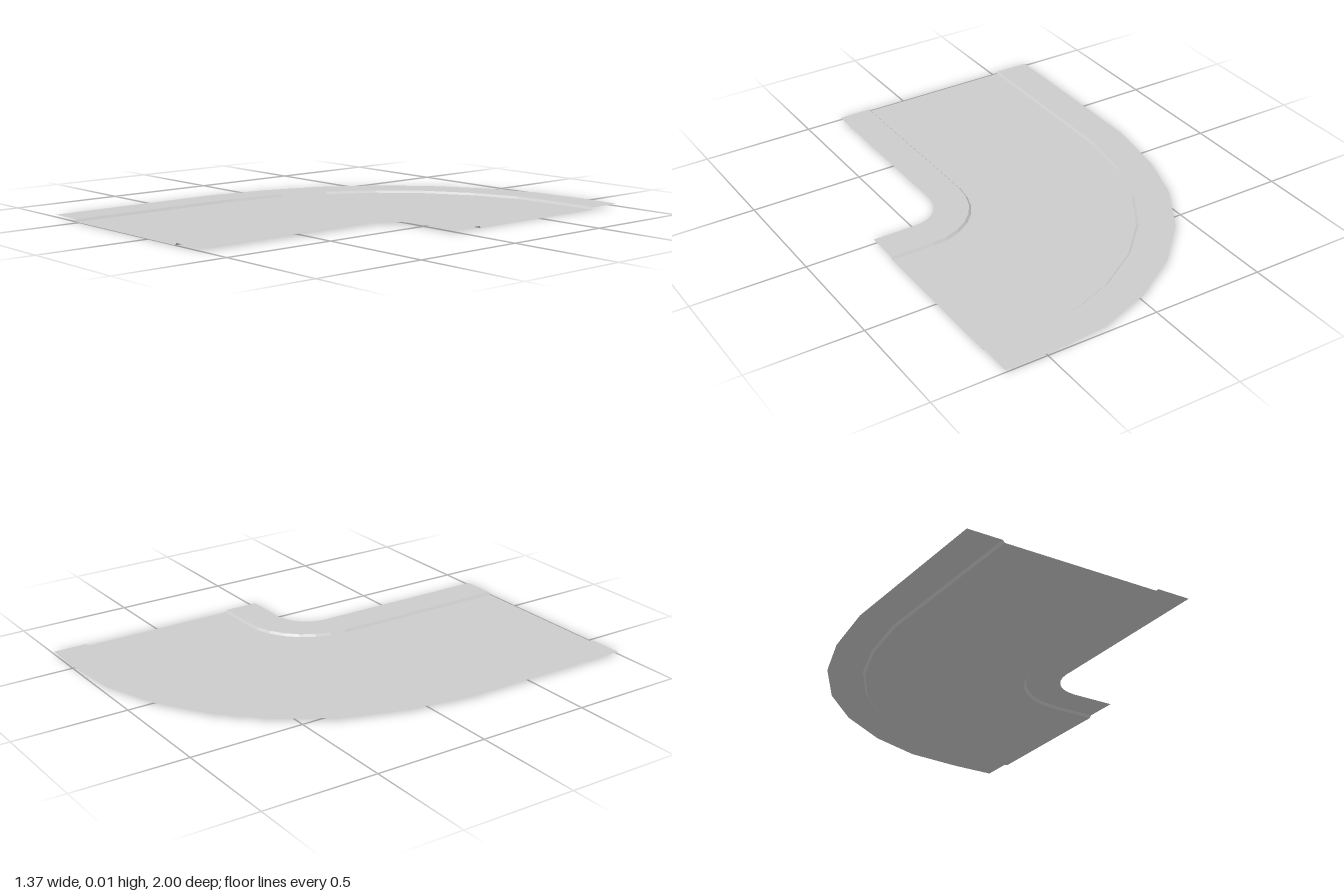
import * as THREE from 'three';

// Plan of the outer edge [x, z], from the front end round the bend to the side end
const OUTER = [
  [-0.685, 1], [-0.685, 0.19], [-0.64, -0.1], [-0.56, -0.34], [-0.42, -0.57],
  [-0.24, -0.75], [-0.01, -0.895], [0.23, -0.98], [0.48, -1], [0.685, -1],
];
const BEND = { x: 0.49, z: 0.17, r: 0.155 };
const HEIGHT = 0.01;

// Inner edge: straight, quarter arc, straight, with one point per outer point
function innerPoint(i) {
  if (i === 0) return [BEND.x - BEND.r, 1];
  if (i === OUTER.length - 1) return [0.685, BEND.z - BEND.r];
  const a = ((i - 1) / (OUTER.length - 3)) * Math.PI / 2;
  return [BEND.x - BEND.r * Math.cos(a), BEND.z - BEND.r * Math.sin(a)];
}

// Strip following the bend between two [fraction across, height] pairs
function strip(name, [t0, y0], [t1, y1], material) {
  const positions = [], index = [];
  OUTER.forEach(([ox, oz], i) => {
    const [ix, iz] = innerPoint(i);
    for (const [t, y] of [[t0, y0], [t1, y1]]) {
      positions.push(ix + (ox - ix) * t, y, iz + (oz - iz) * t);
    }
    if (i > 0) {
      const a = 2 * (i - 1);
      index.push(a, a + 2, a + 1, a + 1, a + 2, a + 3);
    }
  });
  const geometry = new THREE.BufferGeometry();
  geometry.setAttribute('position', new THREE.Float32BufferAttribute(positions, 3));
  geometry.setIndex(index);
  geometry.computeVertexNormals();
  const mesh = new THREE.Mesh(geometry, material);
  mesh.name = name;
  return mesh;
}

export function createModel() {
  const group = new THREE.Group();
  group.name = 'roadCorner';
  const material = new THREE.MeshStandardMaterial({
    color: 0xcccccc, flatShading: true, side: THREE.DoubleSide,
  });

  // Cross-section from the inside of the bend to the outside
  const section = [
    [0, HEIGHT], [0.147, HEIGHT], [0.156, 0],
    [0.84, 0], [0.849, HEIGHT], [1, HEIGHT],
  ];
  const names = ['innerPavement', 'innerKerb', 'roadSurface', 'outerKerb', 'outerPavement'];
  names.forEach((name, i) => group.add(strip(name, section[i], section[i + 1], material)));
  return group;
}
